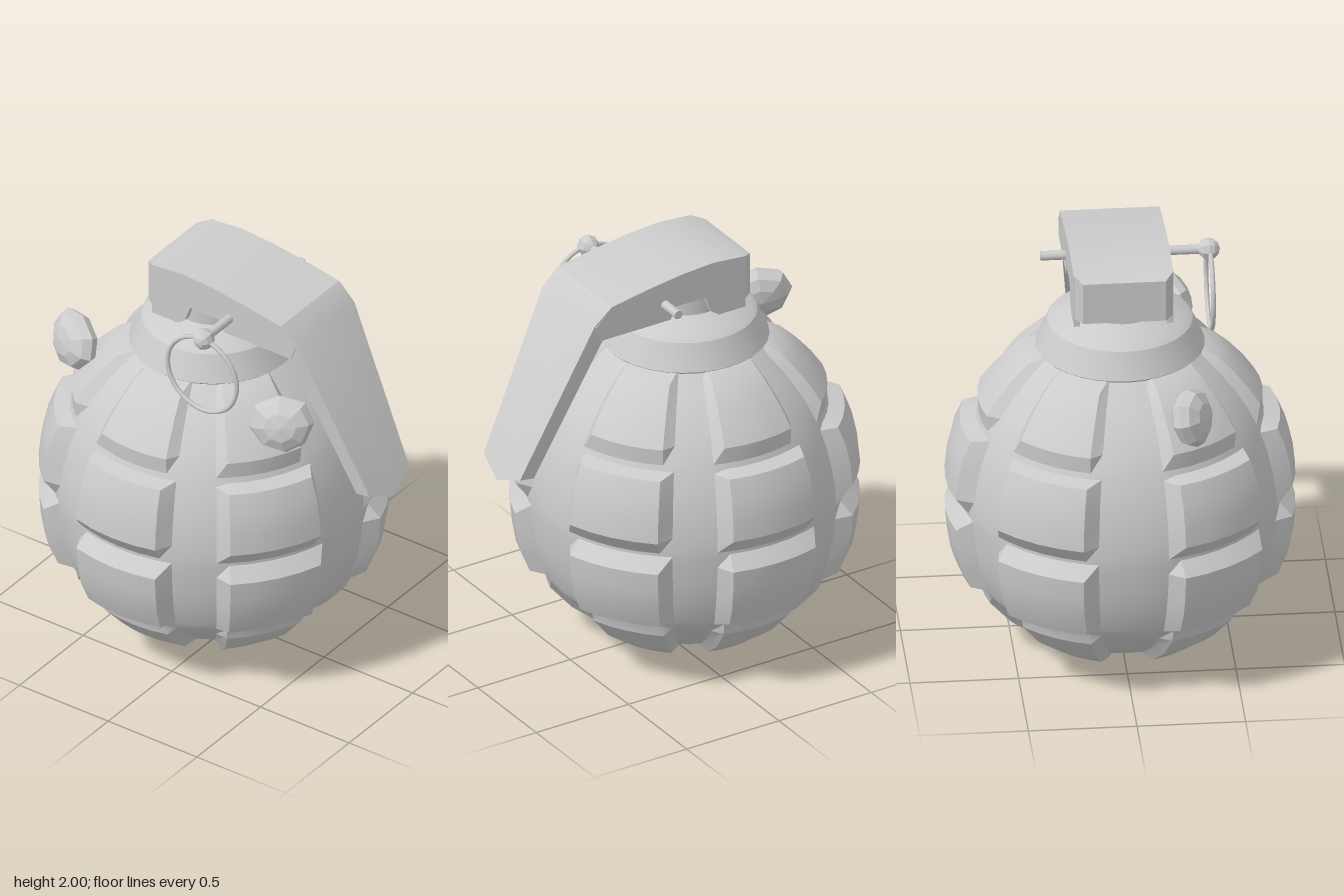
import * as THREE from 'three';
import { toCreasedNormals } from 'three/addons/utils/BufferGeometryUtils.js';

const CX = -0.12; // axis of the body
const material = new THREE.MeshStandardMaterial({ color: 0xcccccc });
const flatMaterial = new THREE.MeshStandardMaterial({ color: 0xcccccc, flatShading: true });

function add(parent, name, geometry, x = 0, y = 0, z = 0, mat = material) {
  const mesh = new THREE.Mesh(geometry, mat);
  mesh.name = name;
  mesh.position.set(x, y, z);
  parent.add(mesh);
  return mesh;
}

// Skin over closed rings of points, capped at both ends
function loft(rings, crease) {
  const n = rings[0].length, pos = rings.flat(2), index = [];
  for (let i = 0; i < rings.length - 1; i++) {
    for (let j = 0; j < n; j++) {
      const a = i * n + j, b = i * n + (j + 1) % n;
      index.push(a, b, b + n, a, b + n, a + n);
    }
  }
  [0, rings.length - 1].forEach((r) => {
    const centre = pos.length / 3;
    for (let k = 0; k < 3; k++) pos.push(rings[r].reduce((s, p) => s + p[k], 0) / n);
    for (let j = 0; j < n; j++) {
      const a = r * n + j, b = r * n + (j + 1) % n;
      if (r === 0) index.push(centre, b, a);
      else index.push(centre, a, b);
    }
  });
  const g = new THREE.BufferGeometry();
  g.setAttribute('position', new THREE.Float32BufferAttribute(pos, 3));
  g.setIndex(index);
  return toCreasedNormals(g, crease);
}

// Segmented body: six columns of raised, chamfered panels between grooves
function bodyGeometry() {
  // raised y, raised radius, groove y, groove radius
  const profile = [
    [0.025, 0.03, 0.03, 0.03], [0, 0.14, 0.03, 0.14], [0.01, 0.24, 0.045, 0.23],
    [0.07, 0.40, 0.10, 0.365], [0.17, 0.535, 0.19, 0.49], [0.29, 0.64, 0.29, 0.595],
    [0.345, 0.65, 0.345, 0.65], [0.36, 0.66, 0.36, 0.66],
    [0.39, 0.735, 0.39, 0.675], [0.5, 0.78, 0.5, 0.71], [0.6, 0.797, 0.6, 0.73], [0.7, 0.805, 0.7, 0.74],
    [0.765, 0.745, 0.765, 0.745], [0.78, 0.745, 0.78, 0.745],
    [0.86, 0.805, 0.86, 0.742], [0.96, 0.795, 0.96, 0.725], [1.06, 0.773, 1.06, 0.70], [1.15, 0.735, 1.15, 0.667],
    [1.165, 0.66, 1.165, 0.66], [1.19, 0.65, 1.19, 0.65],
    [1.27, 0.655, 1.27, 0.607], [1.35, 0.60, 1.35, 0.55], [1.43, 0.53, 1.43, 0.48], [1.5, 0.455, 1.5, 0.405],
    [1.54, 0.36, 1.54, 0.36],
  ];
  const columns = [];
  const centres = [0, 57, 123, 180, 237, 303];
  const grooves = [28.5, 90, 151.5, 208.5, 270, 331.5];
  centres.forEach((c, i) => {
    for (const d of [-20.5, -16, -8, 0, 8, 16, 20.5]) columns.push([c + d, Math.abs(d) < 17]);
    columns.push([grooves[i], false]);
  });
  return loft(profile.map(([yo, ro, yi, ri]) => columns.map(([deg, raised]) => {
    const a = THREE.MathUtils.degToRad(deg), r = raised ? ro : ri;
    return [r * Math.sin(a), raised ? yo : yi, r * Math.cos(a)];
  })), 0.42);
}

// Lever plate: top x, top y, underside x, underside y, half width
function leverPlate() {
  const stations = [
    [-0.355, 1.965, -0.355, 1.90, 0.19], [-0.3, 1.985, -0.3, 1.92, 0.23], [-0.13, 2, -0.13, 1.94, 0.23],
    [0.03, 1.99, 0.03, 1.93, 0.23], [0.22, 1.965, 0.21, 1.905, 0.23], [0.42, 1.93, 0.39, 1.87, 0.23],
    [0.51, 1.85, 0.44, 1.81, 0.225], [0.87, 1.12, 0.795, 1.11, 0.155],
  ];
  return loft(stations.map(([tx, ty, bx, by, w], i) => {
    const tip = i === stations.length - 1 ? 1 : 0; // pointed end
    const dx = 0.028 * tip, dy = -0.06 * tip;
    return [
      [tx, ty, -w], [tx + dx, ty + dy, 0], [tx, ty, w],
      [bx, by, w], [bx + dx, by + dy, 0], [bx, by, -w],
    ];
  }), 0.4);
}

const shapeOf = (points) => new THREE.Shape(points.map(([x, y]) => new THREE.Vector2(x, y)));

export function createModel() {
  const model = new THREE.Group();
  model.name = 'grenade';

  add(model, 'body', bodyGeometry(), CX);

  // Collar and neck
  const collar = [[0, 1.52], [0.375, 1.52], [0.39, 1.535], [0.335, 1.66], [0.31, 1.68], [0.19, 1.725], [0.19, 1.92], [0, 1.92]];
  add(model, 'collar', toCreasedNormals(
    new THREE.LatheGeometry(collar.map(([r, y]) => new THREE.Vector2(r, y)), 32), 0.4), CX);

  // Lever: plate, two side flanges and a chamfered back wall
  const lever = new THREE.Group();
  lever.name = 'lever';
  model.add(lever);
  add(lever, 'leverPlate', leverPlate());
  const flange = shapeOf([
    [-0.305, 1.72], [-0.16, 1.72], [-0.12, 1.75], [-0.09, 1.83], [0.07, 1.83], [0.1, 1.77],
    [0.475, 1.77], [0.505, 1.845], [0.415, 1.925], [0.03, 1.98], [-0.305, 1.975],
  ]);
  for (const z of [0.2, -0.229]) {
    add(lever, 'leverFlange', new THREE.ExtrudeGeometry(flange, { depth: 0.029, bevelEnabled: false }), 0, 0, z);
  }
  const wall = shapeOf([
    [-0.3, -0.23], [-0.3, -0.2], [-0.325, -0.175], [-0.325, 0.175], [-0.3, 0.2], [-0.3, 0.23],
    [-0.355, 0.19], [-0.355, -0.19],
  ]);
  const back = new THREE.ExtrudeGeometry(wall, { depth: 0.2, bevelEnabled: false });
  add(lever, 'leverBack', back.rotateX(-Math.PI / 2), 0, 1.76, 0);

  // Safety pin with knob and pull ring
  add(model, 'pin', new THREE.CylinderGeometry(0.022, 0.022, 0.78, 10).rotateX(Math.PI / 2), 0.13, 1.858, 0.045);
  add(model, 'pinKnob', new THREE.SphereGeometry(0.052, 8, 6).rotateX(Math.PI / 2), 0.13, 1.858, 0.43, flatMaterial);
  add(model, 'pullRing', new THREE.TorusGeometry(0.195, 0.011, 8, 40), 0.125, 1.662, 0.435);

  // Faceted, flattened ears on the shoulders
  for (const side of [-1, 1]) {
    const g = new THREE.SphereGeometry(1, 8, 6).rotateX(Math.PI / 2);
    const p = g.attributes.position;
    for (let i = 0; i < p.count; i++) {
      // narrower towards the lower outer end
      const x = p.getX(i), y = p.getY(i), k = 1 - 0.14 * (x * side * 0.3 - y * 0.95);
      p.setXYZ(i, x * 0.155 * k, y * 0.138, p.getZ(i) * 0.08);
    }
    const ear = add(model, side > 0 ? 'leftEar' : 'rightEar', g, CX + side * 0.588, 1.437, 0.28, flatMaterial);
    ear.rotation.set(-0.25, side * 0.43, side * 0.15, 'YXZ');
  }
  return model;
}
